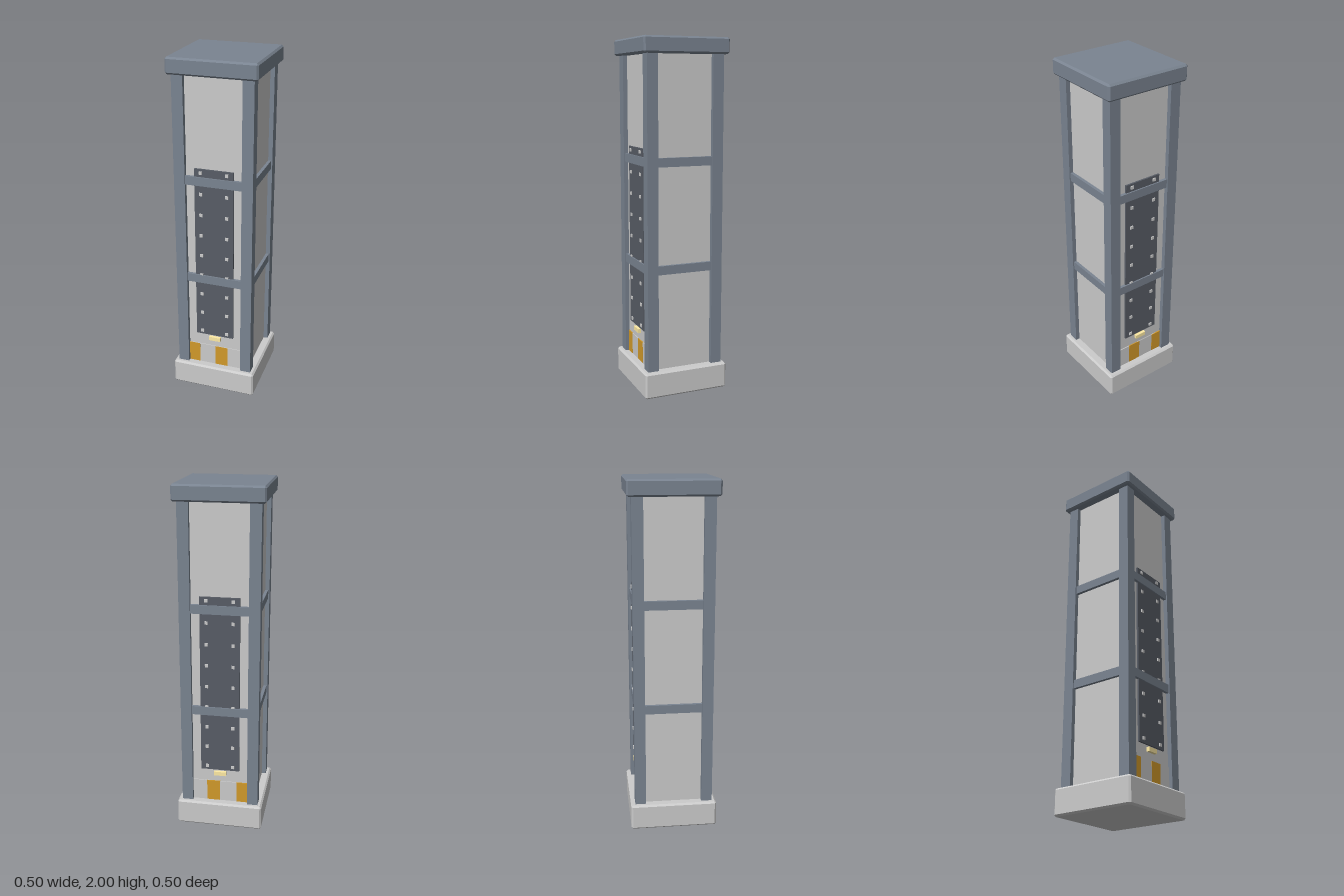
import * as THREE from 'three';
import { ConvexGeometry } from 'three/addons/geometries/ConvexGeometry.js';

const mat = (color) => new THREE.MeshStandardMaterial({ color });

// Box with flat chamfers on every edge
function chamferBox(w, h, d, c) {
  const points = [];
  for (const sx of [-1, 1]) for (const sy of [-1, 1]) for (const sz of [-1, 1]) {
    for (let axis = 0; axis < 3; axis++) {
      const cut = [c, c, c];
      cut[axis] = 0;
      points.push(new THREE.Vector3(
        sx * (w / 2 - cut[0]), sy * (h / 2 - cut[1]), sz * (d / 2 - cut[2])));
    }
  }
  return new ConvexGeometry(points);
}

export function createModel() {
  const model = new THREE.Group();
  model.name = 'pillar';
  const grey = mat(0xcccccc);
  const steel = mat(0x7a8491);
  const darkSteel = mat(0x585d66);
  const amber = mat(0xd29a2a);
  const lamp = mat(0xffeba5);

  function add(name, geometry, material, x, y, z) {
    const mesh = new THREE.Mesh(geometry, material);
    mesh.name = name;
    mesh.position.set(x, y, z);
    model.add(mesh);
    return mesh;
  }
  const box = (name, material, w, h, d, x, y, z) =>
    add(name, new THREE.BoxGeometry(w, h, d), material, x, y, z);

  // Base, core and cap
  add('base', chamferBox(0.5, 0.15, 0.5, 0.01), grey, 0, 0.075, 0);
  box('core', grey, 0.4, 1.78, 0.4, 0, 1.03, 0);
  add('cap', chamferBox(0.5, 0.09, 0.5, 0.01), steel, 0, 1.955, 0);

  // Corner posts
  for (const sx of [-1, 1]) for (const sz of [-1, 1]) {
    box('cornerPost', steel, 0.063, 1.77, 0.063, sx * 0.1935, 1.03, sz * 0.1935);
  }

  // Cross beams on all four sides
  for (const y of [0.73, 1.33]) for (const s of [-1, 1]) {
    box('crossBeam', steel, 0.34, 0.05, 0.03, 0, y, s * 0.203);
    box('sideBeam', steel, 0.03, 0.05, 0.34, s * 0.203, y, 0);
  }

  // Fittings repeated on front and back
  for (const s of [-1, 1]) {
    box('armourPlate', darkSteel, 0.225, 1.045, 0.015, 0, 0.878, s * 0.203);
    for (let i = 0; i < 9; i++) for (const sx of [-1, 1]) {
      box('rivet', grey, 0.018, 0.018, 0.008, sx * 0.075, 0.38 + i * 0.125, s * 0.2125);
    }
    box('indicatorLamp', lamp, 0.07, 0.024, 0.02, 0, 0.332, s * 0.207);

    // Hazard band of alternating blocks
    box('hazardBand', grey, 0.34, 0.126, 0.01, 0, 0.214, s * 0.2);
    for (const x of [-0.135, 0.04]) {
      box('hazardStripe', amber, 0.078, 0.126, 0.012, x, 0.214, s * 0.2);
    }
  }
  return model;
}
